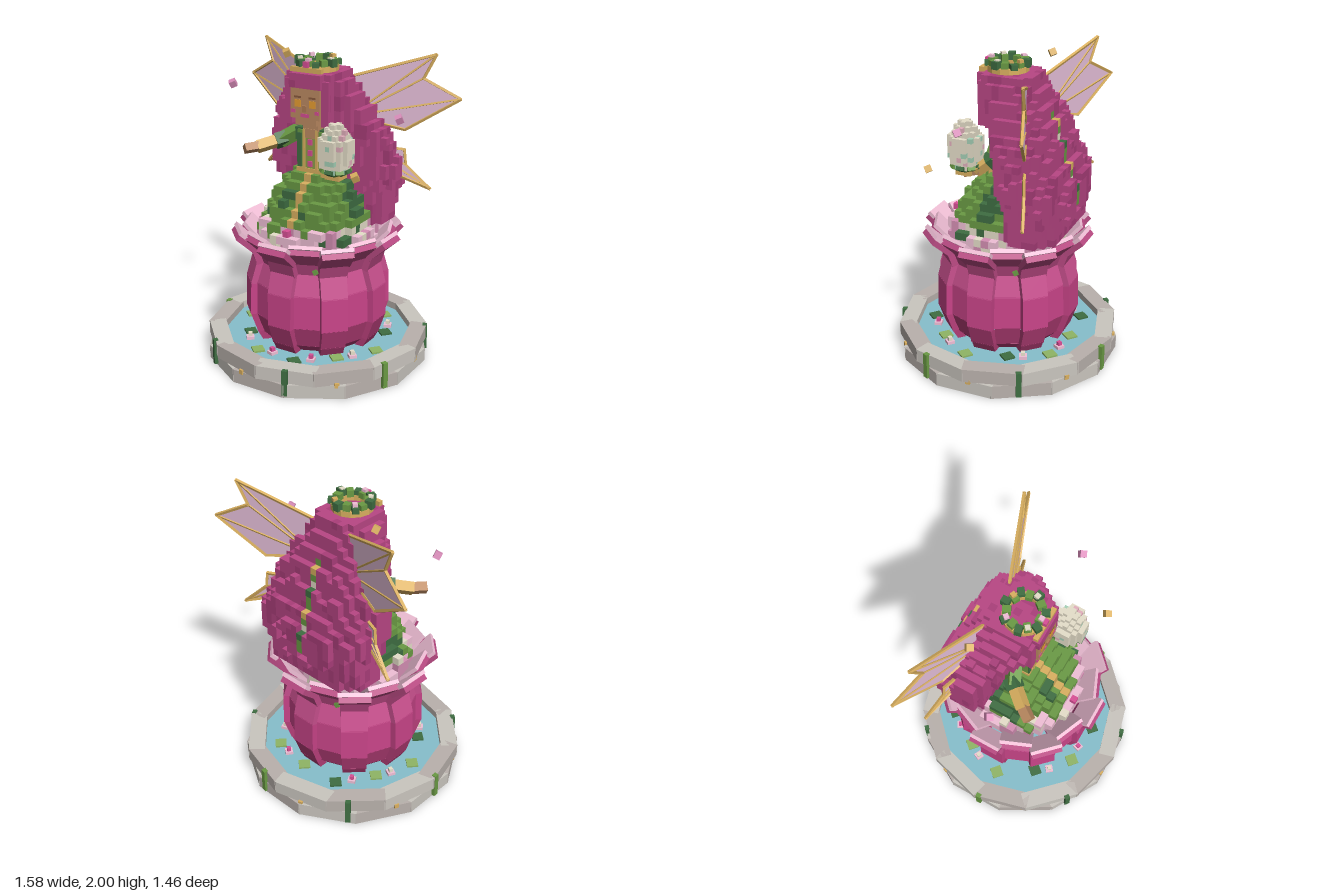
import * as THREE from 'three';
import { mergeGeometries } from 'three/addons/utils/BufferGeometryUtils.js';

const C = { gold: 0xdab060, leaf: 0x6a9a44, moss: 0x3f6e42, skin: 0xbd8b62, hair: 0xb84684, petal: 0xc84488,
  blush: 0xf0bfd6, pink: 0xd94f96, cream: 0xe6dfca, mint: 0xa6d2b8, orange: 0xeba032, water: 0x86bfcc, stone: 0xcac6bf, stone2: 0xb9b1ac };
const mats = {};
const mat = (c) => (mats[c] ??= new THREE.MeshStandardMaterial({ color: c, flatShading: true }));
const V = (x, y, z) => new THREE.Vector3(x, y, z);
const hash = (a, b, c = 0) => { const n = Math.sin(a * 12.99 + b * 78.23 + c * 37.72) * 43758.5453; return n - Math.floor(n); };

function add(parent, name, geo, color, x = 0, y = 0, z = 0) {
  const m = new THREE.Mesh(geo, mat(color));
  m.name = name;
  m.position.set(x, y, z);
  parent.add(m);
  return m;
}
const box = (p, name, color, w, h, d, x, y, z) => add(p, name, new THREE.BoxGeometry(w, h, d), color, x, y, z);

// Square bar from point a to point b
function beam(p, name, color, a, b, w, d = w) {
  const m = box(p, name, color, w, a.distanceTo(b) + w * 0.5, d, 0, 0, 0);
  m.position.copy(a).add(b).multiplyScalar(0.5);
  m.quaternion.setFromUnitVectors(V(0, 1, 0), b.clone().sub(a).normalize());
  return m;
}

function group(parent, name, x = 0, y = 0, z = 0, ry = 0) {
  const g = new THREE.Group();
  g.name = name;
  g.position.set(x, y, z);
  g.rotation.y = ry;
  parent.add(g);
  return g;
}

// Interpolate rows [y, a, b, c...] at height y
function at(rows, y) {
  let i = 0;
  while (i < rows.length - 2 && y > rows[i + 1][0]) i++;
  const a = rows[i], b = rows[i + 1];
  const t = THREE.MathUtils.clamp((y - a[0]) / (b[0] - a[0]), 0, 1);
  return a.map((v, k) => v + (b[k] - v) * t);
}

// Surface voxels of a solid, merged by colour
function voxels(parent, name, s, [x, y0, y1, z], inside, paint) {
  const g = group(parent, name), bins = {};
  const full = (i, j, k) => (j + 0.5) * s > y0 && (j + 0.5) * s < y1 && inside(i * s, (j + 0.5) * s, k * s, i, j, k);
  const nx = Math.ceil(x / s), nz = Math.ceil(z / s);
  for (let j = Math.floor(y0 / s); j <= y1 / s; j++)
    for (let i = -nx; i <= nx; i++)
      for (let k = -nz; k <= nz; k++) {
        if (!full(i, j, k)) continue;
        if (full(i + 1, j, k) && full(i - 1, j, k) && full(i, j + 1, k) && full(i, j - 1, k) && full(i, j, k + 1) && full(i, j, k - 1)) continue;
        (bins[paint(i, j, k, !full(i, j, k - 1))] ??= []).push(new THREE.BoxGeometry(s, s, s).translate(i * s, (j + 0.5) * s, k * s));
      }
  for (const c in bins) add(g, name + 'Blocks', mergeGeometries(bins[c]), Number(c));
  return g;
}

function pond(root) {
  const g = group(root, 'pond');
  // Two staggered courses of twelve stones
  for (let row = 0; row < 2; row++)
    for (let i = 0; i < 12; i++) {
      const s = group(g, 'stone', 0, 0, 0, ((i + row / 2) * Math.PI) / 6);
      box(s, 'stoneBlock', (i + row) % 2 ? C.stone : C.stone2, 0.385, 0.088, 0.11, 0, 0.046 + row * 0.09, 0.65);
    }
  add(g, 'water', new THREE.CylinderGeometry(0.62, 0.62, 0.025, 32), C.water, 0, 0.12, 0);
  // Moss strips and gold studs round the wall
  for (let i = 0; i < 7; i++) {
    const a = 0.27 + (i * Math.PI * 2) / 7;
    box(group(g, 'mossStrip', 0, 0, 0, a), 'moss', i % 2 ? C.leaf : C.moss, 0.035, 0.17, 0.03, 0, 0.1, 0.715);
    box(group(g, 'wallStud', 0, 0, 0, a - 0.45), 'stud', C.gold, 0.03, 0.03, 0.03, 0, 0.09, 0.705);
  }
  // Lily pads and water flowers
  for (let i = 0; i < 11; i++) {
    const p = group(g, 'lilyPad', 0, 0, 0, 0.25 + (i * Math.PI * 2) / 11);
    box(p, 'pad', i % 3 ? 0x8fb565 : C.moss, 0.075, 0.012, 0.075, 0, 0.14, 0.5 - 0.05 * (i % 2)).rotation.y = 0.6 + i;
    if (i % 3 === 2) continue;
    box(p, 'flowerPetals', C.blush, 0.05, 0.02, 0.05, 0.1, 0.145, 0.46);
    box(p, 'flowerHeart', i % 2 ? C.cream : C.pink, 0.026, 0.03, 0.026, 0.1, 0.165, 0.46);
  }
}

function flowerCup(root) {
  const g = group(root, 'flowerCup');
  const profile = [[0.33, 0.08, 0.15], [0.395, 0.2, 0.15], [0.44, 0.33, 0.16], [0.435, 0.54, 0.17], [0.395, 0.68, 0.17], [0.425, 0.77, 0.18], [0.53, 0.865, 0.2]];
  const tones = [0xb03c74, 0xb83f7a, C.petal, 0xc9508e, 0xbd4a85, 0xb84a82];
  for (let n = 0; n < 16; n++) {
    const inner = n % 2, p = group(g, inner ? 'innerPetal' : 'outerPetal', 0, 0, 0, (n * Math.PI) / 8);
    // Inner petals sit back and rise just out of the water
    const pts = profile.map(([r, y, w], i) => [r - inner * (i < 6 ? 0.04 : 0.055), i ? y : y + inner * 0.05, w]);
    for (let i = 0; i < pts.length - 1; i++) {
      const [r0, y0] = pts[i], [r1, y1, w] = pts[i + 1];
      const tilt = Math.atan2(r1 - r0, y1 - y0), len = Math.hypot(r1 - r0, y1 - y0) + 0.012;
      box(p, 'petalSegment', tones[i], w, len, 0.05, 0, (y0 + y1) / 2, (r0 + r1) / 2).rotation.x = tilt;
      // Pale lining and lip on the flare
      if (i === pts.length - 2)
        box(p, 'petalLining', C.blush, w + 0.008, len + 0.015, 0.025, 0, (y0 + y1) / 2 + 0.02, (r0 + r1) / 2 - 0.015).rotation.x = tilt;
    }
    if (n % 4 === 1) box(p, 'petalLeaf', C.leaf, 0.03, 0.03, 0.03, 0.05, 0.71, 0.395).rotation.z = 0.5;
  }
  // Blocky heart of the flower
  voxels(g, 'flowerHeart', 0.05, [0.4, 0.75, 1, 0.4],
    (x, y, z, i, j, k) => Math.hypot(x, z) < 0.37 && y < 0.82 + 0.12 * hash(i, k),
    (i, j, k) => (hash(i, j, k) > 0.8 ? C.cream : hash(i, k, 4) > 0.6 ? 0xd58fb4 : C.blush));
}

function hair(root) {
  // height, half width, front z, back z
  const rows = [[0.88, 0.37, -0.1, -0.42], [1.1, 0.39, -0.08, -0.46], [1.25, 0.44, -0.04, -0.45], [1.4, 0.41, -0.02, -0.38], [1.52, 0.37, 0, -0.35],
    [1.6, 0.31, 0.06, -0.32], [1.7, 0.25, 0.11, -0.27], [1.79, 0.2, 0.11, -0.23], [1.81, 0.19, 0.145, -0.22], [1.9, 0.17, 0.145, -0.17]];
  const stripe = [C.leaf, C.leaf, C.moss, C.cream, C.leaf, C.gold];
  voxels(root, 'hair', 0.045, [0.5, 0.88, 1.9, 0.52], (x, y, z, i, j, k) => {
    const [, w, f, b] = at(rows, y);
    const d = Math.abs(x / w) ** 3 + Math.abs((z - (f + b) / 2) / ((f - b) / 2)) ** 3;
    return d < (y > 1.7 ? 1 : 0.85 + 0.35 * hash(Math.round(i / 2), Math.round(j / 3), Math.round(k / 2)));
  }, (i, j, k, back) => (i === 0 && back && k < 0 && j > 23 && j < 37 ? stripe[j % 6] : hash(i, Math.round(j / 2), k) > 0.8 ? 0xaa3e7a : C.hair));
}

function head(root) {
  const g = group(root, 'head');
  box(g, 'face', C.skin, 0.21, 0.19, 0.06, 0, 1.705, 0.12);
  box(g, 'chin', C.skin, 0.15, 0.05, 0.06, 0, 1.595, 0.115);
  box(g, 'neck', C.skin, 0.11, 0.1, 0.1, 0, 1.54, 0.04);
  box(g, 'nose', 0xb07e57, 0.03, 0.04, 0.02, 0, 1.675, 0.152);
  box(g, 'lips', C.pink, 0.06, 0.022, 0.012, 0, 1.632, 0.148);
  for (const s of [-1, 1]) {
    box(g, 'eye', C.orange, 0.045, 0.045, 0.01, s * 0.052, 1.705, 0.148);
    box(g, 'brow', 0x8a5a3c, 0.05, 0.012, 0.012, s * 0.052, 1.745, 0.148);
    box(g, 'cheek', C.pink, 0.03, 0.022, 0.01, s * 0.085, 1.655, 0.148);
    box(g, 'sideLock', C.hair, 0.05, 0.28, 0.09, s * 0.132, 1.71, 0.09);
  }
  // Wreath of leaf blocks on a gold band
  for (let i = 0; i < 14; i++) {
    const c = group(g, 'wreath', 0, 0, 0, (i * Math.PI) / 7), h = 0.03 + 0.025 * hash(i, 3);
    box(c, 'band', C.gold, 0.06, 0.035, 0.035, 0, 1.912, 0.11);
    box(c, 'wreathLeaf', i % 2 ? C.moss : C.leaf, 0.042, h, 0.05, 0, 1.925 + h / 2, 0.1 + 0.02 * (i % 2));
    if (i % 3 === 0) box(c, 'wreathBloom', [C.blush, C.cream, C.gold][(i / 3) % 3], 0.03, 0.03, 0.03, 0, 1.965, 0.11);
  }
  box(g, 'crownPlate', C.gold, 0.22, 0.03, 0.03, 0, 1.912, 0.13);
  box(g, 'crownJewel', C.pink, 0.035, 0.035, 0.035, 0, 1.945, 0.13);
}

function body(root) {
  const g = group(root, 'body');
  box(g, 'bodice', C.leaf, 0.2, 0.27, 0.16, 0, 1.385, 0);
  box(g, 'shoulders', C.moss, 0.25, 0.08, 0.14, 0, 1.49, 0);
  box(g, 'belt', C.gold, 0.21, 0.045, 0.18, 0, 1.255, 0);
  box(g, 'bodicePanel', 0x8fa04a, 0.07, 0.24, 0.02, 0, 1.4, 0.08);
  box(g, 'neckline', C.skin, 0.08, 0.06, 0.02, 0, 1.505, 0.085);
  for (const s of [-1, 1]) {
    box(g, 'bodiceTrim', C.gold, 0.016, 0.26, 0.025, s * 0.045, 1.4, 0.085);
    box(g, 'sidePanel', C.moss, 0.03, 0.22, 0.02, s * 0.085, 1.39, 0.078);
  }
  for (const y of [1.31, 1.38, 1.45]) box(g, 'button', C.pink, 0.03, 0.035, 0.03, 0, y, 0.085);
  // Stepped skirt with a gold front strip
  const rows = [[0.85, 0.34, 0.36, 0.3], [1, 0.3, 0.3, 0.25], [1.1, 0.26, 0.23, 0.2], [1.2, 0.19, 0.15, 0.14], [1.25, 0.12, 0.1, 0.1]];
  voxels(g, 'skirt', 0.05, [0.4, 0.85, 1.25, 0.4], (x, y, z, i, j, k) => {
    const [, w, f, b] = at(rows, y);
    return Math.abs(x / w) ** 2.3 + Math.abs(z / (z > 0 ? f : b)) ** 2.3 < 0.95 + 0.2 * hash(i, j, k);
  }, (i, j, k) => {
    if (i === 0 && k > 0) return C.gold;
    if (j < 19 && hash(i, j, k) > 0.65) return hash(k, i) > 0.6 ? C.cream : C.blush;
    return Math.sin(i * 0.9 + j * 1.3) + Math.sin(k * 0.8 + j * 0.7) > 0.2 ? C.moss : C.leaf;
  });
  box(g, 'hemJewel', C.pink, 0.04, 0.04, 0.04, 0, 0.93, 0.365);
  // Arms: one stretched out, one carrying the bud
  const reach = [V(-0.12, 1.5, 0), V(-0.23, 1.43, 0.05), V(-0.33, 1.395, 0.17), V(-0.38, 1.39, 0.24)];
  const hold = [V(0.11, 1.5, 0), V(0.19, 1.38, 0.02), V(0.23, 1.31, 0.11), V(0.24, 1.29, 0.18)];
  for (const a of [reach, hold]) {
    beam(g, 'sleeve', C.leaf, a[0], a[1], 0.075);
    beam(g, 'forearm', C.gold, a[1], a[2], 0.065);
    beam(g, 'cuff', C.moss, a[1], a[1].clone().lerp(a[2], 0.2), 0.08);
    beam(g, 'hand', C.skin, a[2], a[3], 0.06, 0.05);
  }
  // Speckled white bud in a leafy cup
  const bud = group(root, 'bud', 0.24, 0, 0.18);
  voxels(bud, 'budPetals', 0.03, [0.14, 1.32, 1.63, 0.14],
    (x, y, z) => Math.hypot(x, z) < at([[1.32, 0.06], [1.4, 0.108], [1.5, 0.108], [1.56, 0.075], [1.62, 0.025]], y)[1],
    (i, j, k) => (hash(i, j, k) > 0.9 ? C.mint : hash(k, i, j) > 0.9 ? 0xe3b0bd : C.cream));
  box(bud, 'budBase', C.gold, 0.1, 0.035, 0.1, 0, 1.295, 0);
  for (let i = 0; i < 8; i++)
    box(group(bud, 'sepal', 0, 0, 0, (i * Math.PI) / 4), 'sepalLeaf', i % 2 ? C.leaf : C.moss, 0.05, 0.025, 0.06, 0, 1.325, 0.068).rotation.x = -0.5;
}

function wings(root) {
  const upper = [[0.13, 1.58], [0.15, 1.84], [0.63, 1.99], [0.56, 1.84], [0.78, 1.72], [0.46, 1.51]];
  const lower = [[0.2, 1.4], [0.46, 1.38], [0.47, 1.28], [0.62, 1.13], [0.4, 1.22], [0.25, 1.25]];
  for (const s of [-1, 1])
    for (const [name, outline] of [['upperWing', upper], ['lowerWing', lower]]) {
      const g = group(root, name), pts = outline.map(([x, y]) => V(s * x, y, -0.13 - 0.36 * x)), n = pts.length;
      const geo = new THREE.BufferGeometry().setFromPoints(pts);
      geo.setIndex([0, 1, 2, 0, 2, 3, 0, 3, 4, 0, 4, 5]);
      geo.computeVertexNormals();
      const m = add(g, 'membrane', geo, C.cream);
      m.material = new THREE.MeshStandardMaterial({ color: 0xe2bcd6, side: THREE.DoubleSide });
      pts.forEach((p, i) => beam(g, 'wingRim', C.gold, p, pts[(i + 1) % n], 0.016));
      for (const i of [2, 3, 4]) beam(g, 'wingVein', C.gold, pts[0], pts[i], 0.011);
    }
}

export function createModel() {
  const root = new THREE.Group();
  root.name = 'flowerFairyFountain';
  pond(root);
  flowerCup(root);
  hair(root);
  head(root);
  body(root);
  wings(root);
  // Drifting motes
  for (const [x, y, z, c] of [[-0.58, 1.76, 0.1, 0xdd8fbd], [0.6, 1.67, 0.06, 0xdd8fbd], [-0.335, 1.94, -0.16, C.gold], [0.46, 1.36, 0.33, C.gold]])
    box(root, 'mote', c, 0.042, 0.042, 0.042, x, y, z).rotation.set(0.4, 0.6, 0.2);
  return root;
}
